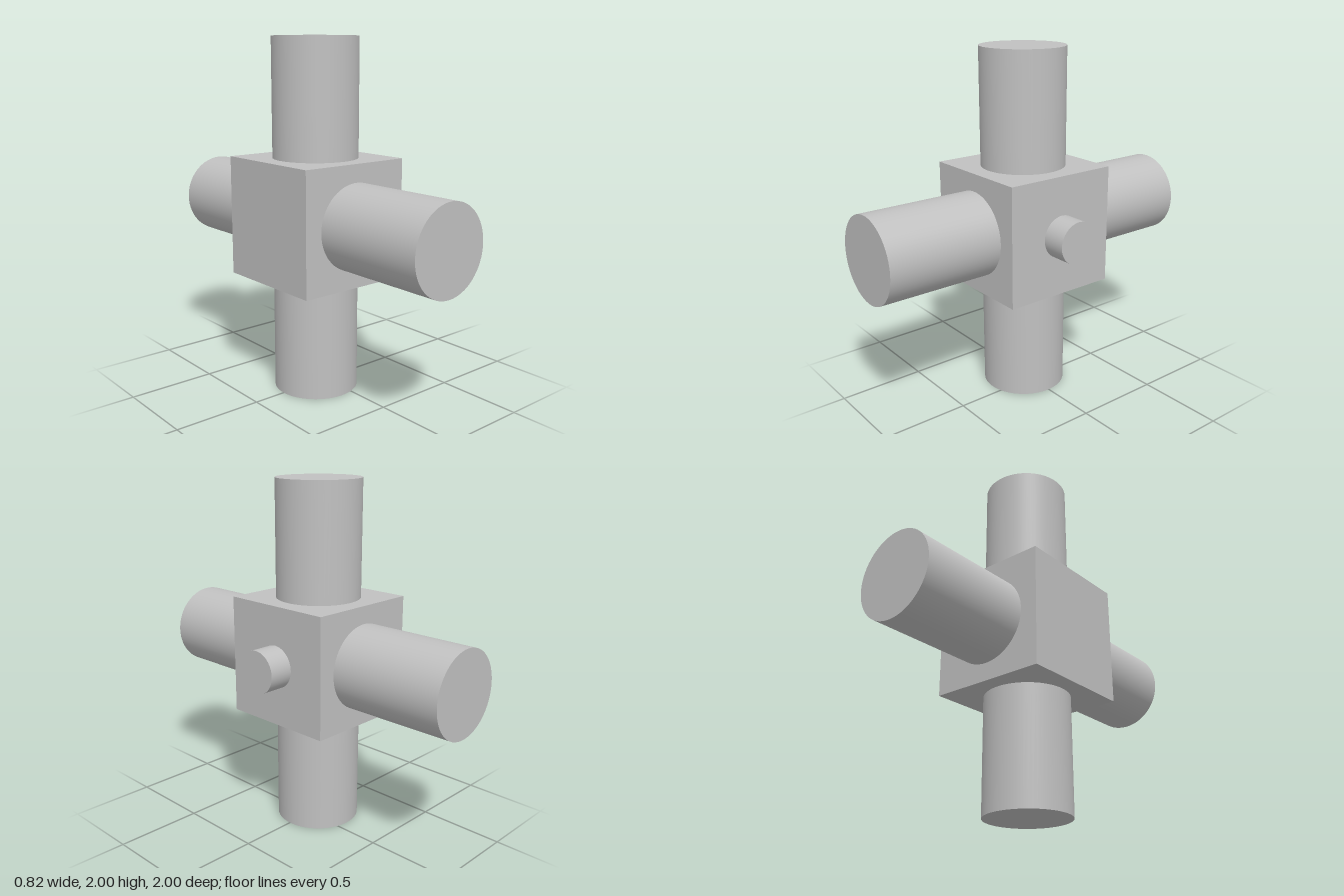
import * as THREE from 'three';

const CENTER = new THREE.Vector3(-0.07, 1, 0);
const SIZE = 0.68;

export function createModel() {
  const model = new THREE.Group();
  model.name = 'pipeJunction';
  const grey = new THREE.MeshStandardMaterial({ color: 0xc0c0c0 });
  grey.name = 'light grey';

  // Central cube
  const block = new THREE.Mesh(new THREE.BoxGeometry(SIZE, SIZE, SIZE), grey);
  block.name = 'centralBlock';
  block.position.copy(CENTER);
  model.add(block);

  // Cylinder standing on a cube face, pointing outward along dir
  const up = new THREE.Vector3(0, 1, 0);
  function addArm(name, dir, radius, length) {
    const arm = new THREE.Mesh(new THREE.CylinderGeometry(radius, radius, length, 64), grey);
    arm.name = name;
    arm.quaternion.setFromUnitVectors(up, dir);
    arm.position.copy(CENTER).addScaledVector(dir, SIZE / 2 + length / 2);
    model.add(arm);
  }

  // Four long arms, vertical and front to back
  for (const [name, y, z] of [['topArm', 1, 0], ['bottomArm', -1, 0], ['frontArm', 0, 1], ['backArm', 0, -1]]) {
    addArm(name, new THREE.Vector3(0, y, z), 0.24, 0.66);
  }

  // Short side peg
  addArm('sidePeg', new THREE.Vector3(1, 0, 0), 0.12, 0.14);

  return model;
}
